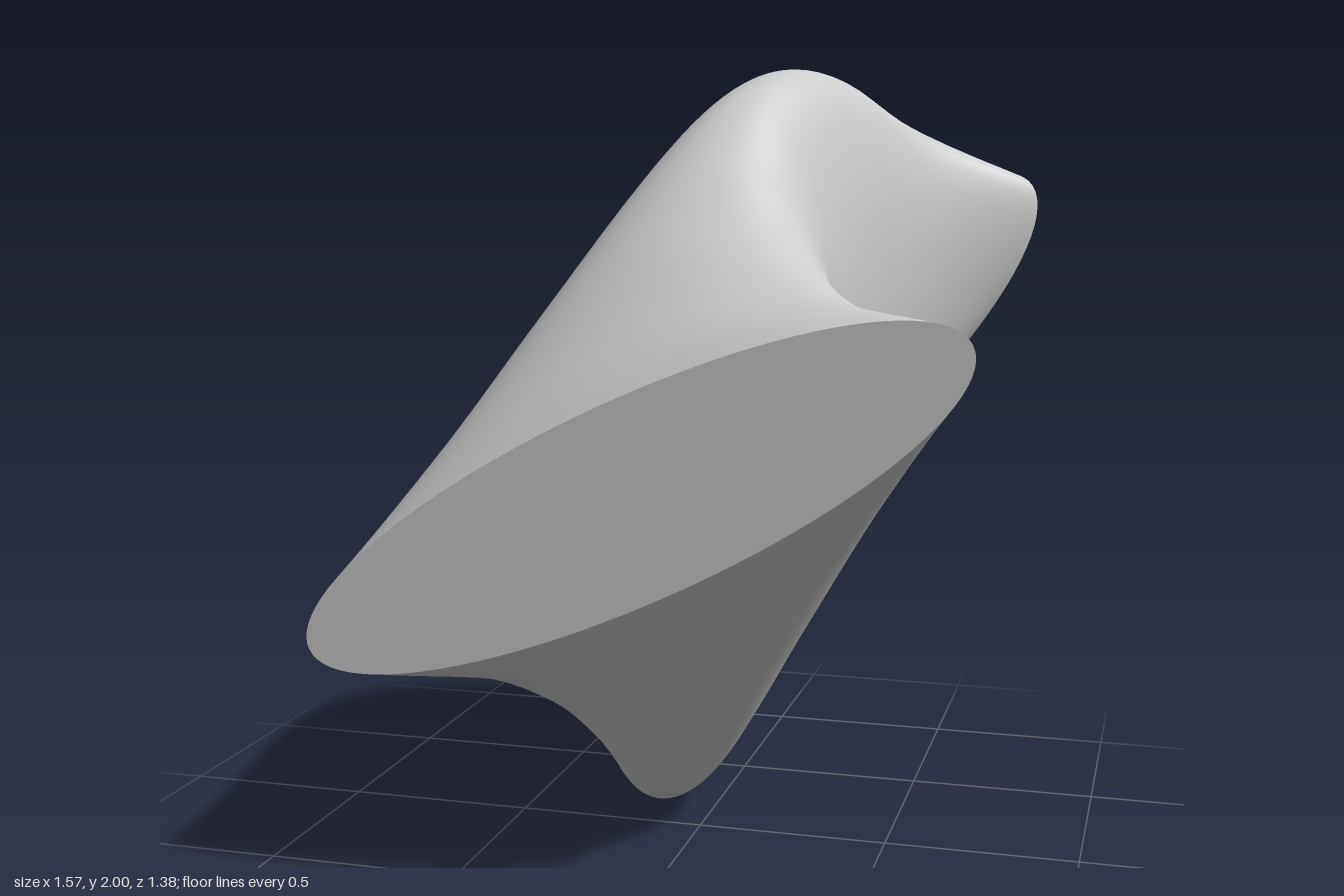
import * as THREE from 'three';

const HALF = 0.6875; // half the depth
const RINGS = 64, SIDES = 96;

// Elliptical sections at equal steps from front to back:
// half width, half height, and lean (how far the ellipse is skewed up to +x)
const sections = new THREE.CatmullRomCurve3([
  [0.787, 0.435, 0.28], [0.648, 0.48, 0.153], [0.515, 0.615, 0.075],
  [0.41, 0.78, 0.063], [0.35, 0.92, 0.1], [0.365, 0.992, 0.168],
  [0.435, 0.98, 0.247], [0.56, 0.87, 0.33], [0.787, 0.73, 0.5],
].map((s) => new THREE.Vector3(...s)), false, 'catmullrom', 0.5);

// Point on the section at t (0 front, 1 back), for a point (c, s) of the unit disc
function sectionPoint(t, c, s) {
  const { x: w, y: h, z: lean } = sections.getPoint(t);
  const skew = lean / w;
  return [w * c, 1 + skew * c + Math.sqrt(h * h - skew * skew) * s, HALF * (1 - 2 * t)];
}

// Move each vertex of a geometry by a rule
function reshape(geometry, rule) {
  const p = geometry.attributes.position;
  for (let i = 0; i < p.count; i++) p.setXYZ(i, ...rule(p.getX(i), p.getY(i)));
  geometry.computeVertexNormals();
  return geometry;
}

// Twisted skin: a closed loop of quads between neighbouring sections
function skinGeometry() {
  const positions = [], index = [];
  for (let r = 0; r <= RINGS; r++) {
    for (let k = 0; k < SIDES; k++) {
      const a = (k / SIDES) * Math.PI * 2;
      positions.push(...sectionPoint(r / RINGS, Math.cos(a), Math.sin(a)));
      if (r === RINGS) continue;
      const n = (k + 1) % SIDES;
      const A = r * SIDES + k, B = r * SIDES + n;
      index.push(A, A + SIDES, B, B, A + SIDES, B + SIDES);
    }
  }
  const g = new THREE.BufferGeometry();
  g.setAttribute('position', new THREE.Float32BufferAttribute(positions, 3));
  g.setIndex(index);
  g.computeVertexNormals();
  return g;
}

export function createModel() {
  const group = new THREE.Group();
  group.name = 'twistedEllipticalSolid';
  const material = new THREE.MeshStandardMaterial({ color: 0xcccccc });
  const add = (name, geometry) => {
    const mesh = new THREE.Mesh(geometry, material);
    mesh.name = name;
    group.add(mesh);
  };

  add('twistedSkin', skinGeometry());

  // Flat elliptical ends
  const disc = () => new THREE.CircleGeometry(1, SIDES);
  add('frontFace', reshape(disc(), (x, y) => sectionPoint(0, x, y)));
  add('backFace', reshape(disc().rotateY(Math.PI), (x, y) => sectionPoint(1, x, y)));
  return group;
}
